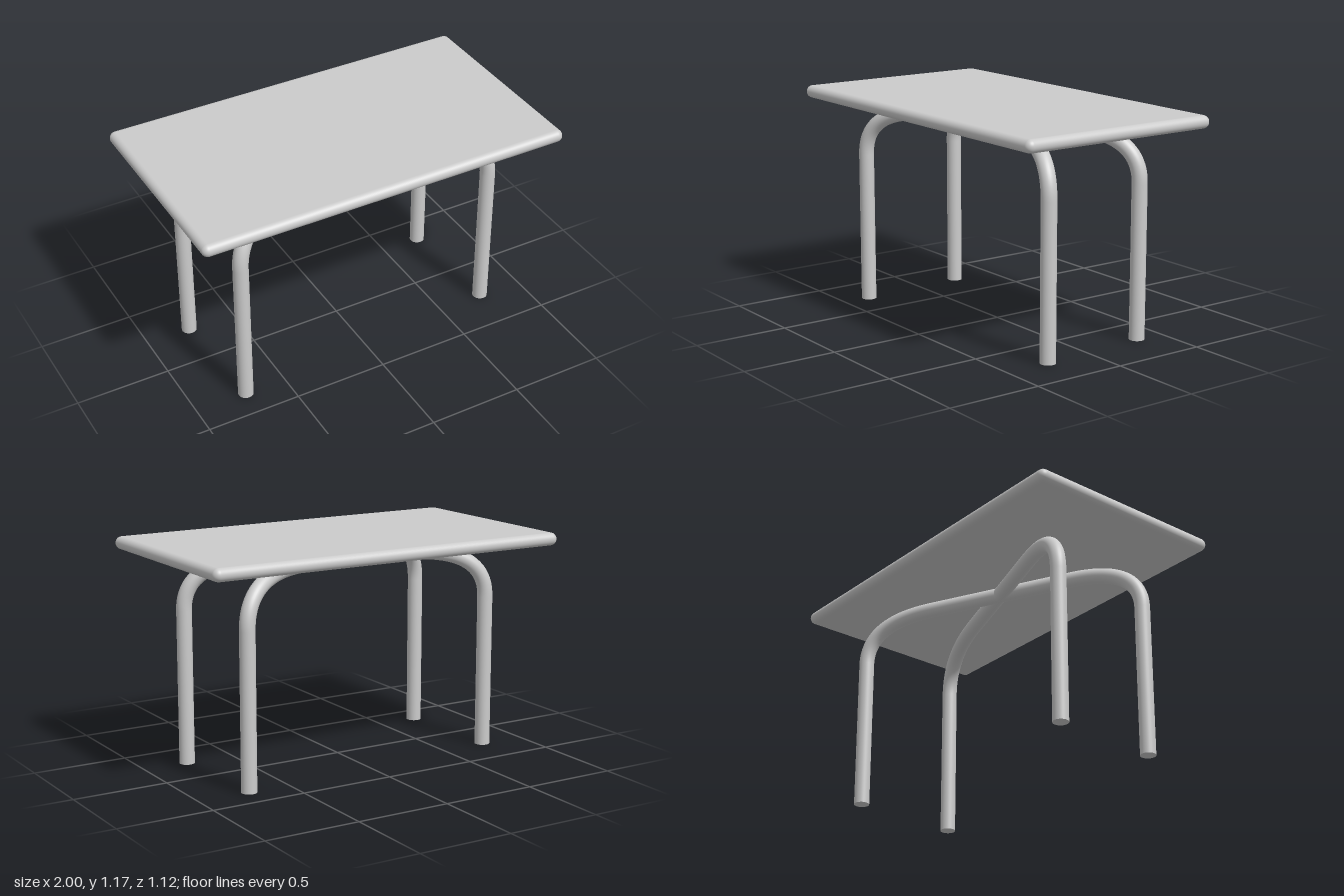
import * as THREE from 'three';
import { RoundedBoxGeometry } from 'three/addons/geometries/RoundedBoxGeometry.js';

const TUBE = 0.04;      // tube radius
const REACH = 0.8;      // distance of each foot from the centre
const RAIL_Y = 1.06;    // height of the crossing rails
const BEND_Y = 0.81;    // where a leg starts to bend
const BEND_X = 0.41;    // where the bend meets the flat rail

// One bent tube: leg, bend, flat rail, bend, leg
function archPath() {
  const p = (x, y) => new THREE.Vector3(x, y, 0);
  const path = new THREE.CurvePath();
  path.add(new THREE.LineCurve3(p(-REACH, 0), p(-REACH, BEND_Y)));
  path.add(new THREE.QuadraticBezierCurve3(p(-REACH, BEND_Y), p(-REACH, RAIL_Y), p(-BEND_X, RAIL_Y)));
  path.add(new THREE.LineCurve3(p(-BEND_X, RAIL_Y), p(BEND_X, RAIL_Y)));
  path.add(new THREE.QuadraticBezierCurve3(p(BEND_X, RAIL_Y), p(REACH, RAIL_Y), p(REACH, BEND_Y)));
  path.add(new THREE.LineCurve3(p(REACH, BEND_Y), p(REACH, 0)));
  return path;
}

export function createModel() {
  const model = new THREE.Group();
  model.name = 'table';
  const material = new THREE.MeshStandardMaterial({ color: 0xcccccc });

  // Table top with fully rounded edges
  const top = new THREE.Mesh(new RoundedBoxGeometry(2, 0.067, 1.12, 6, 0.0334), material);
  top.name = 'tableTop';
  top.position.y = 1.1335;
  model.add(top);

  // Two arched leg frames crossing under the top
  const tubeGeometry = new THREE.TubeGeometry(archPath(), 160, TUBE, 32);
  const capGeometry = new THREE.CircleGeometry(TUBE, 32).rotateX(Math.PI / 2);
  const frames = [
    ['legFrameA', Math.atan2(-0.255, 0.76)],
    ['legFrameB', Math.atan2(0.345, 0.72)],
  ];
  for (const [name, angle] of frames) {
    const frame = new THREE.Group();
    frame.name = name;
    frame.rotation.y = angle;
    const tube = new THREE.Mesh(tubeGeometry, material);
    tube.name = 'bentTube';
    frame.add(tube);
    // Flat closed feet
    for (const side of [-1, 1]) {
      const cap = new THREE.Mesh(capGeometry, material);
      cap.name = 'footCap';
      cap.position.x = side * REACH;
      frame.add(cap);
    }
    model.add(frame);
  }
  return model;
}
